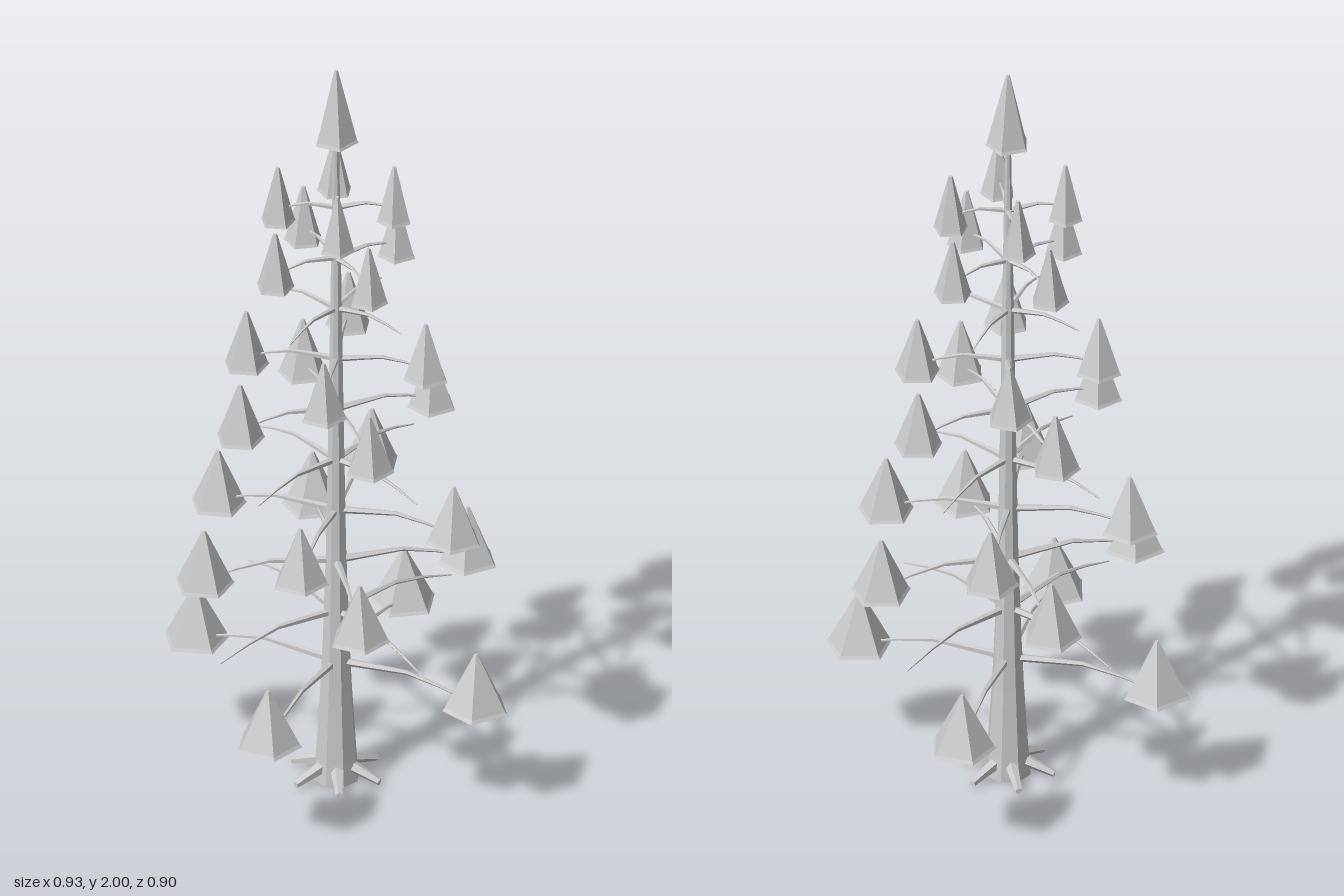
import * as THREE from 'three';
import { mergeGeometries } from 'three/addons/utils/BufferGeometryUtils.js';

const grey = new THREE.MeshStandardMaterial({ color: 0xcccccc, flatShading: true });
grey.name = 'pale grey';

function part(name, geometry) {
  const mesh = new THREE.Mesh(geometry, grey);
  mesh.name = name;
  return mesh;
}

// Tube along a path that narrows from r0 to r1
function taperedTube(points, r0, r1, segments, sides) {
  const curve = new THREE.CatmullRomCurve3(points.map(p => new THREE.Vector3(...p)));
  const geo = new THREE.TubeGeometry(curve, segments, 1, sides, false);
  const pos = geo.attributes.position;
  const v = new THREE.Vector3();
  for (let i = 0; i < pos.count; i++) {
    const t = Math.floor(i / (sides + 1)) / segments;
    const c = curve.getPointAt(t);
    v.fromBufferAttribute(pos, i).sub(c).multiplyScalar(r0 + (r1 - r0) * t).add(c);
    pos.setXYZ(i, v.x, v.y, v.z);
  }
  return geo;
}

// Five-sided foliage cone standing on y = 0, with a small lip at the rim
function foliageCone(radius, height) {
  const lip = 0.008;
  const rim = new THREE.CylinderGeometry(radius * 0.92, radius, lip, 5);
  rim.translate(0, lip / 2, 0);
  const body = new THREE.CylinderGeometry(0.005, radius * 0.92, height - lip, 5);
  body.translate(0, (height + lip) / 2, 0);
  return mergeGeometries([rim, body]);
}

export function createModel() {
  const tree = new THREE.Group();
  tree.name = 'tree';
  const deg = Math.PI / 180;

  // Trunk, flared at the foot: [height, radius]
  const profile = [[0, 0.058], [0.06, 0.053], [0.25, 0.041], [0.4, 0.034], [0.65, 0.026], [1.0, 0.02], [1.85, 0.007]];
  const rings = [];
  for (let i = 1; i < profile.length; i++) {
    const [y0, r0] = profile[i - 1], [y1, r1] = profile[i];
    const ring = new THREE.CylinderGeometry(r1, r0, y1 - y0, 8, 1, i > 1);
    ring.translate(0, (y0 + y1) / 2, 0);
    rings.push(ring);
  }
  tree.add(part('trunk', mergeGeometries(rings)));

  // Roots
  const rootGeo = mergeGeometries([
    taperedTube([[0.02, 0.047, 0], [0.07, 0.031, 0], [0.118, 0.014, 0]], 0.019, 0.009, 3, 5),
    new THREE.CircleGeometry(0.009, 5).rotateY(Math.PI / 2).translate(0.118, 0.014, 0),
  ]);
  for (let k = 0; k < 6; k++) {
    const root = part('root', rootGeo);
    root.rotation.y = k * 60 * deg;
    tree.add(root);
  }

  // Ten tiers of four branches, each tier turned 63 degrees; every third tier is bare
  for (let tier = 0; tier < 10; tier++) {
    const y = 0.333 + 0.1425 * tier;
    const reach = 0.38 - 0.0264 * tier;
    const drop = 0.034 - 0.003 * tier;
    const branchGeo = taperedTube(
      [[0, y - 0.004, 0], [reach * 0.25, y + 0.003, 0], [reach * 0.55, y + 0.009, 0], [reach, y - drop, 0]],
      0.011 - 0.0004 * tier, 0.0015, 4, 5);
    const coneGeo = foliageCone(0.085 - 0.0045 * tier, 0.152);
    for (let j = 0; j < 4; j++) {
      const angle = ((63 * tier) % 90 + 90 * j) * deg;
      const branch = part('branch', branchGeo);
      branch.rotation.y = angle;
      tree.add(branch);
      if (tier % 3 === 1) continue;
      const cone = part('foliage', coneGeo);
      cone.position.set(Math.cos(angle) * reach, y - 0.042, -Math.sin(angle) * reach);
      cone.rotation.y = (18 - 18 * j) * deg;
      tree.add(cone);
    }
  }

  // Crown
  const crown = part('crown', foliageCone(0.056, 0.2));
  crown.position.y = 1.8;
  crown.rotation.y = Math.PI;
  tree.add(crown);

  // The trunk stands slightly off the middle of the spread
  tree.position.set(0.004, 0, -0.004);
  const model = new THREE.Group();
  model.name = 'conifer';
  model.add(tree);
  return model;
}
